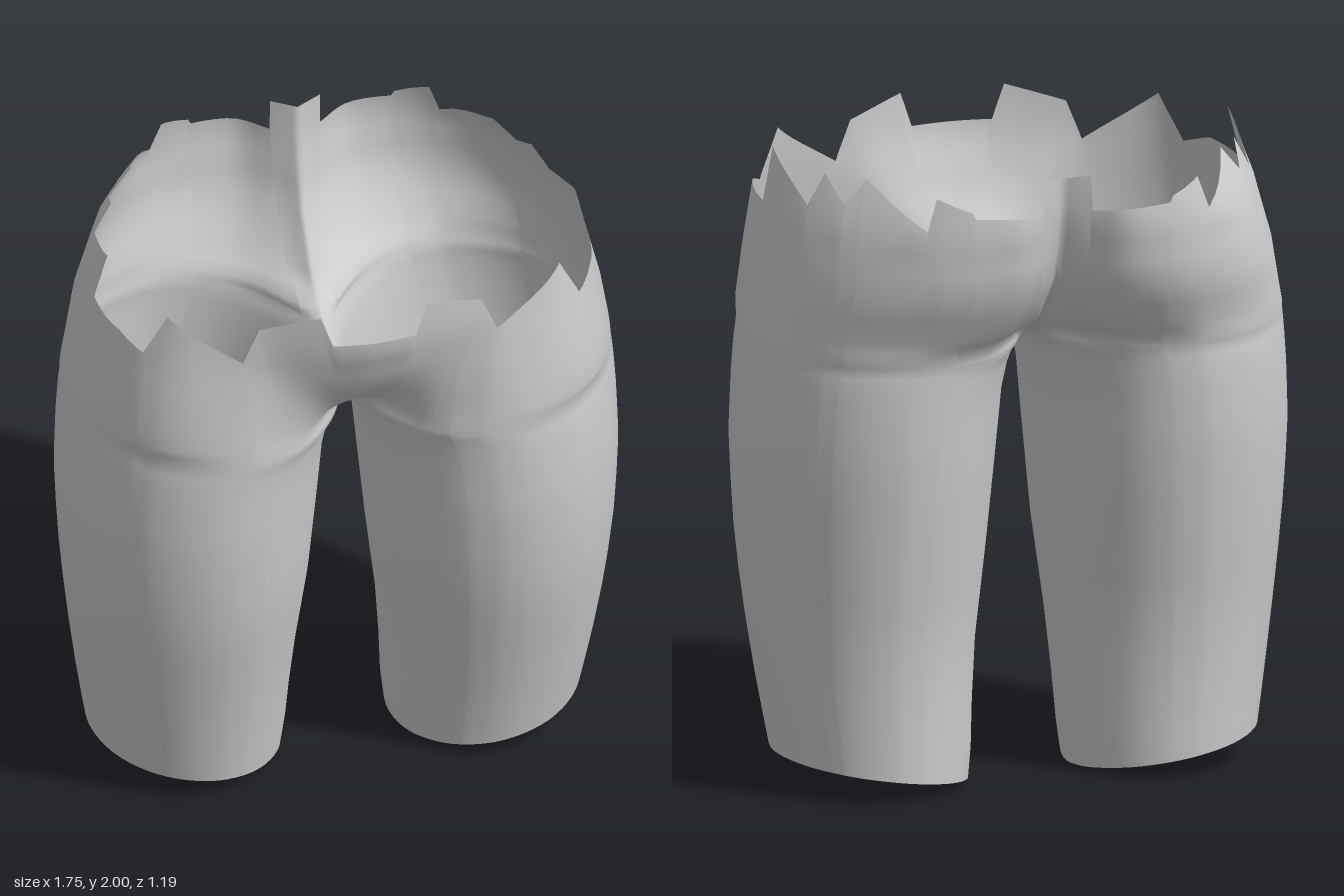
import * as THREE from 'three';
import { mergeVertices } from 'three/addons/utils/BufferGeometryUtils.js';

// Lower cross-sections of one leg: height, inner x, outer x, front z, back z, seam opening
const LEG = [
  [0, 0.17, 0.745, 0.31, -0.34, 0], [0.1, 0.158, 0.77, 0.33, -0.345, 0],
  [0.25, 0.15, 0.795, 0.365, -0.347, 0], [0.45, 0.135, 0.825, 0.415, -0.355, 0],
  [0.75, 0.1, 0.858, 0.49, -0.4, 0], [1.05, 0.073, 0.875, 0.525, -0.44, 0],
  [1.25, 0.055, 0.868, 0.53, -0.452, 0], [1.34, 0.035, 0.862, 0.53, -0.455, 0],
  [1.38, 0.018, 0.859, 0.53, -0.455, 0], [1.4, 0, 0.857, 0.53, -0.455, 0],
  [1.415, 0, 0.855, 0.53, -0.46, 0.14], [1.44, 0, 0.853, 0.53, -0.465, 0.22],
];

// Hip cross-sections of one half (x, z), from the front seam round the hip to the back seam
const HIP = [
  [1.5, [0, .36, .08, .38, .22, .47, .43, .53, .645, .475, .79, .31, .845, .04,
    .785, -.22, .64, -.4, .42, -.49, .22, -.47, .07, -.36, 0, -.27]],
  [1.65, [0, .51, .1, .505, .24, .5, .43, .52, .635, .465, .77, .31, .82, .04,
    .76, -.23, .62, -.44, .4, -.56, .2, -.56, .07, -.48, 0, -.41]],
  [1.85, [0, .59, .14, .575, .3, .53, .45, .5, .62, .44, .74, .3, .77, .08,
    .725, -.17, .6, -.41, .42, -.56, .2, -.597, .08, -.53, 0, -.48]],
  [2.0, [0, .6, .16, .575, .32, .525, .46, .485, .6, .43, .7, .3, .735, .1,
    .66, -.14, .55, -.32, .4, -.53, .2, -.585, .08, -.525, 0, -.49]],
];

// Torn upper rim: position round the half (0 front seam, 12 back seam), height
const RIM = [
  [0, 1.89], [0.9, 1.89], [1.05, 2], [2.25, 1.945], [2.7, 1.82], [4.1, 1.97], [4.45, 1.82],
  [5, 1.85], [5.9, 1.835], [5.92, 2], [6.95, 1.88], [7.08, 1.98], [7.55, 1.91], [7.85, 1.99],
  [8.8, 1.87], [8.9, 1.97], [9.4, 1.93], [9.45, 1.91], [11, 1.89], [11.02, 2], [12, 1.99],
];

// Turn both tables into rows of 13 points, padded at each end for the spline
function makeSections() {
  const rows = LEG.map(([y, xi, xo, zf, zb, open]) => {
    const pts = [];
    for (let k = 0; k <= 12; k++) {
      const t = (k * Math.PI) / 6;
      const x = (xi + xo) / 2 - ((xo - xi) / 2) * Math.cos(t);
      const z = (zf + zb) / 2 + ((zf - zb) / 2) * Math.sin(t);
      pts.push([x, z + (k === 0 ? open : k === 12 ? -open : 0)]);
    }
    return { y, pts };
  });
  for (const [y, flat] of HIP) {
    const pts = [];
    for (let i = 0; i < flat.length; i += 2) pts.push([flat[i], flat[i + 1]]);
    rows.push({ y, pts });
  }
  for (const row of rows) {
    const p = row.pts;
    const closed = row.y <= 1.4;
    // closed legs wrap round; the belly is smooth at the seam, the back has a cleft
    const before = closed ? p[11] : [-p[1][0], p[1][1]];
    const after = closed ? p[1] : [-p[11][0], 2 * p[12][1] - p[11][1]];
    row.pts = [before, ...p, after];
  }
  return rows;
}

function spline(row, u) {
  const i = Math.min(Math.floor(u), 11);
  const t = u - i;
  return [0, 1].map((c) => {
    const [a, b, d, e] = [0, 1, 2, 3].map((n) => row.pts[i + n][c]);
    return b + 0.5 * t * (d - a + t * (2 * a - 5 * b + 4 * d - e + t * (3 * (b - d) + e - a)));
  });
}

function surfacePoint(rows, u, y) {
  let i = 0;
  while (i < rows.length - 2 && y > rows[i + 1].y) i++;
  const t = (y - rows[i].y) / (rows[i + 1].y - rows[i].y);
  const a = spline(rows[i], u);
  const b = spline(rows[i + 1], u);
  return [Math.max(0, a[0] + (b[0] - a[0]) * t), y, a[1] + (b[1] - a[1]) * t];
}

function rimHeight(u) {
  let i = 0;
  while (i < RIM.length - 2 && u > RIM[i + 1][0]) i++;
  const [u0, y0] = RIM[i];
  const [u1, y1] = RIM[i + 1];
  return y0 + ((y1 - y0) * (u - u0)) / (u1 - u0);
}

// The hem rises from the inside of the leg to the outside
const hemHeight = (u) => 0.11 * Math.pow((1 - Math.cos((u * Math.PI) / 6)) / 2, 0.7);

function buildShell() {
  const rows = makeSections();
  const columns = RIM.map((r) => r[0]);
  for (let i = 0; i <= 60; i++) {
    const u = i / 5;
    if (columns.every((c) => Math.abs(c - u) > 0.015)) columns.push(u);
  }
  columns.sort((a, b) => a - b);

  const legLevels = [0, 0.1, 0.25, 0.45, 0.6, 0.75, 0.9, 1.05, 1.15, 1.25, 1.34, 1.38, 1.4];
  const hipLevels = [1.415, 1.44, 1.47, 1.5, 1.57, 1.65, 1.73, 1.8];
  const heights = (u) => {
    const hem = hemHeight(u);
    const rim = rimHeight(u);
    return [...legLevels.map((l) => hem + (1.4 - hem) * (l / 1.4)), ...hipLevels, (1.8 + rim) / 2, rim];
  };

  const positions = [];
  const index = [];
  for (const side of [1, -1]) {
    const base = positions.length / 3;
    const n = legLevels.length + hipLevels.length + 2;
    for (const u of columns) {
      for (const y of heights(u)) {
        const [x, py, z] = surfacePoint(rows, u, y);
        positions.push(side * x, py, z);
      }
    }
    for (let c = 0; c < columns.length - 1; c++) {
      for (let r = 0; r < n - 1; r++) {
        const a = base + c * n + r;
        const b = a + n;
        if (side > 0) index.push(a, b, b + 1, a, b + 1, a + 1);
        else index.push(a, b + 1, b, a, a + 1, b + 1);
      }
    }
  }
  const geometry = new THREE.BufferGeometry();
  geometry.setAttribute('position', new THREE.Float32BufferAttribute(positions, 3));
  geometry.setIndex(index);
  // weld the seams so that shading runs across them
  const welded = mergeVertices(geometry, 1e-4);
  welded.computeVertexNormals();
  return welded;
}

export function createModel() {
  const group = new THREE.Group();
  group.name = 'hipsAndThighs';
  const material = new THREE.MeshStandardMaterial({ color: 0xcccccc, side: THREE.DoubleSide });
  const shell = new THREE.Mesh(buildShell(), material);
  shell.name = 'hipAndThighShell';
  group.add(shell);
  return group;
}
